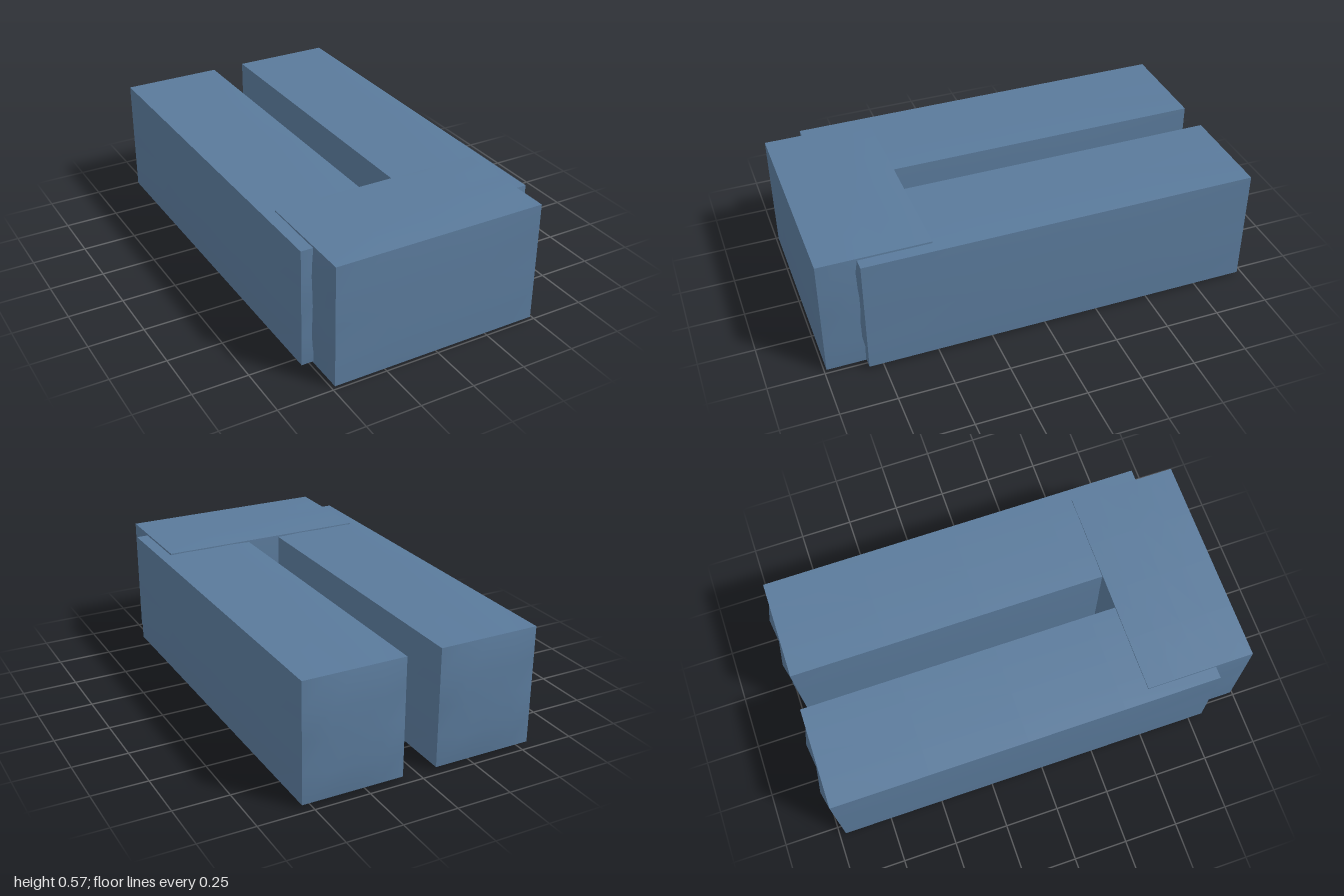
import * as THREE from 'three';

// Height of the soft double hump across a face, t from 0 to 1
const hump = (t) => {
  const s = Math.min(t, 1 - t);
  return s < 0.25 ? s / 0.25 : 1 - 0.5 * (s - 0.25) / 0.25;
};

// Box from min to max whose faces swell outward by the given amount per axis
function cushionBox(min, max, swell) {
  const size = max.map((m, i) => m - min[i]);
  const geometry = new THREE.BoxGeometry(...size, 4, 4, 4);
  geometry.translate(...min.map((m, i) => (m + max[i]) / 2));
  const pos = geometry.attributes.position;
  const nor = geometry.attributes.normal;
  for (let i = 0; i < pos.count; i++) {
    const p = [pos.getX(i), pos.getY(i), pos.getZ(i)];
    const n = [nor.getX(i), nor.getY(i), nor.getZ(i)];
    const axis = n.findIndex((c) => Math.abs(c) > 0.5);
    let push = swell[axis] * n[axis];
    for (let k = 0; k < 3; k++) {
      if (k !== axis) push *= hump((p[k] - min[k]) / size[k]);
    }
    p[axis] += push;
    pos.setXYZ(i, ...p);
  }
  geometry.computeVertexNormals();
  return geometry;
}

export function createModel() {
  const group = new THREE.Group();
  const blue = new THREE.MeshStandardMaterial({ color: 0x5a7a9b });
  blue.name = 'slate blue';
  const tan = new THREE.MeshStandardMaterial({ color: 0x8a8270 });
  tan.name = 'dull tan';

  const add = (name, geometry, material) => {
    const mesh = new THREE.Mesh(geometry, material);
    mesh.name = name;
    group.add(mesh);
    return mesh;
  };

  // Two long side blocks
  const swell = [0.006, 0.004, 0.028];
  add('leftBlock', cushionBox([0.08, 0.018, -0.97], [0.542, 0.56, 0.815], swell), blue);
  add('rightBlock', cushionBox([-0.542, 0.018, -0.97], [-0.08, 0.56, 0.815], swell), blue);

  // Block joining them at the front
  add('frontBlock', cushionBox([-0.487, 0.01, 0.495], [0.487, 0.568, 0.99], [0.015, 0.007, 0.008]), blue);

  // Thin rods bridging the gap near the bottom
  for (const z of [-0.49, -0.155, 0.183]) {
    const rod = add('crossRod', new THREE.CylinderGeometry(0.006, 0.006, 0.2, 8), tan);
    rod.rotation.z = Math.PI / 2;
    rod.position.set(0, 0.05, z);
  }
  return group;
}
